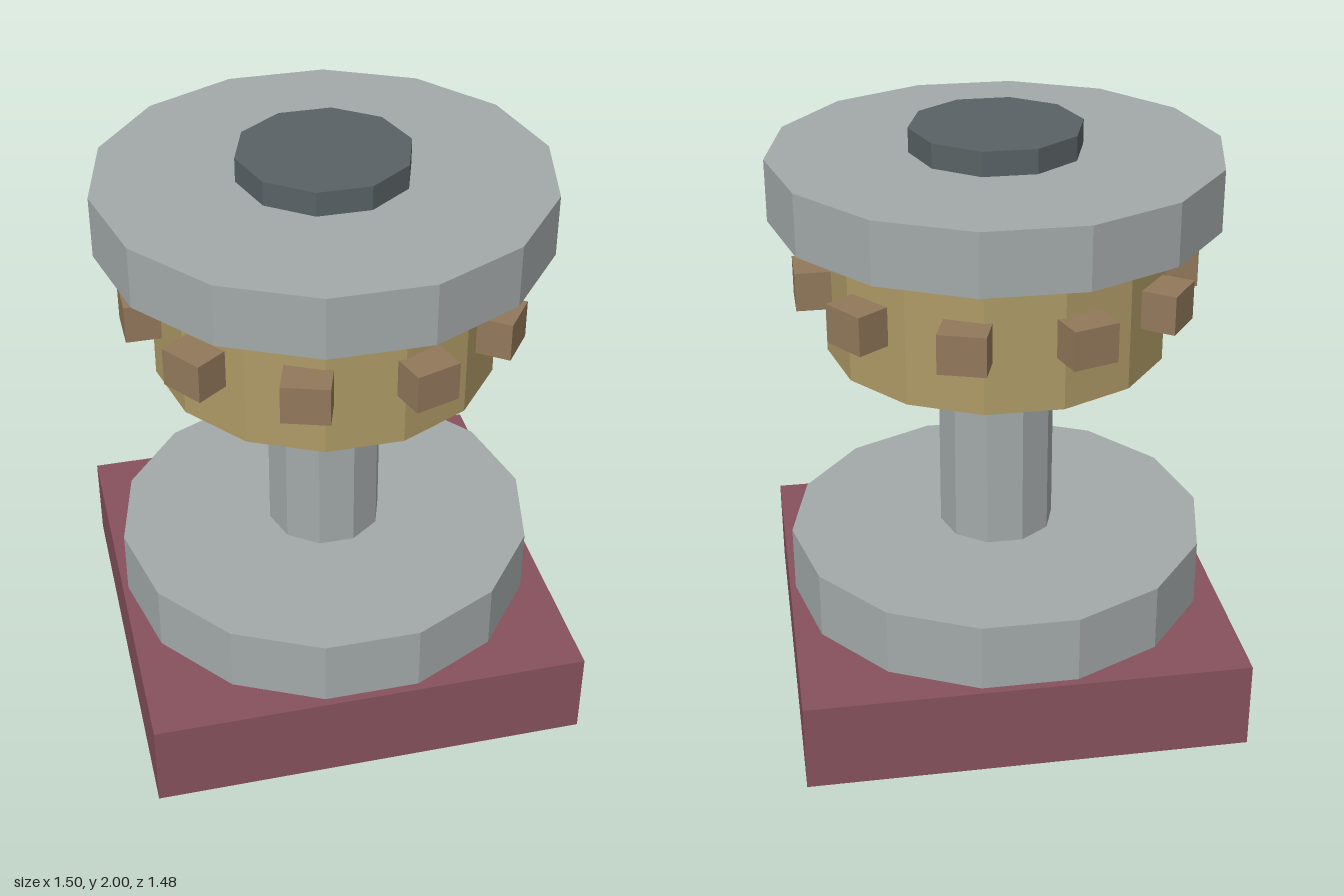
import * as THREE from 'three';

const material = (name, color) => {
  const m = new THREE.MeshStandardMaterial({ color, flatShading: true });
  m.name = name;
  return m;
};

export function createModel() {
  const model = new THREE.Group();
  model.name = 'toothedDrumOnPedestal';

  const maroon = material('maroon', 0x87525c);
  const grey = material('lightGrey', 0xa3a9a9);
  const slate = material('darkSlate', 0x596265);
  const brass = material('brass', 0xae9a66);
  const brown = material('brown', 0x92785b);

  const add = (name, geometry, mat, parent = model) => {
    const mesh = new THREE.Mesh(geometry, mat);
    mesh.name = name;
    parent.add(mesh);
    return mesh;
  };

  // Faceted disc between two heights, with a corner on the x axis
  const disc = (name, radius, sides, bottom, top, mat) => {
    const g = new THREE.CylinderGeometry(radius, radius, top - bottom, sides);
    g.rotateY(Math.PI / 2);
    g.translate(0, (bottom + top) / 2, 0);
    return add(name, g, mat);
  };

  // Plinth
  add('plinth', new THREE.BoxGeometry(1.5, 0.31, 1.48).translate(0, 0.155, 0), maroon);

  // Stacked round parts
  disc('lowerDisc', 0.73, 14, 0.31, 0.545, grey);
  disc('shaft', 0.2, 10, 0.545, 1.24, grey);
  disc('drum', 0.575, 14, 1.24, 1.71, brass);
  disc('upperDisc', 0.75, 14, 1.71, 1.918, grey);
  disc('cap', 0.287, 10, 1.918, 2, slate);

  // Ring of ten teeth around the drum
  const teeth = new THREE.Group();
  teeth.name = 'teeth';
  model.add(teeth);
  const toothShape = new THREE.BoxGeometry(0.155, 0.132, 0.155).translate(0.5975, 1.486, 0);
  for (let i = 0; i < 10; i++) {
    add(`tooth${i + 1}`, toothShape, brown, teeth).rotation.y = (i * Math.PI) / 5;
  }

  return model;
}
